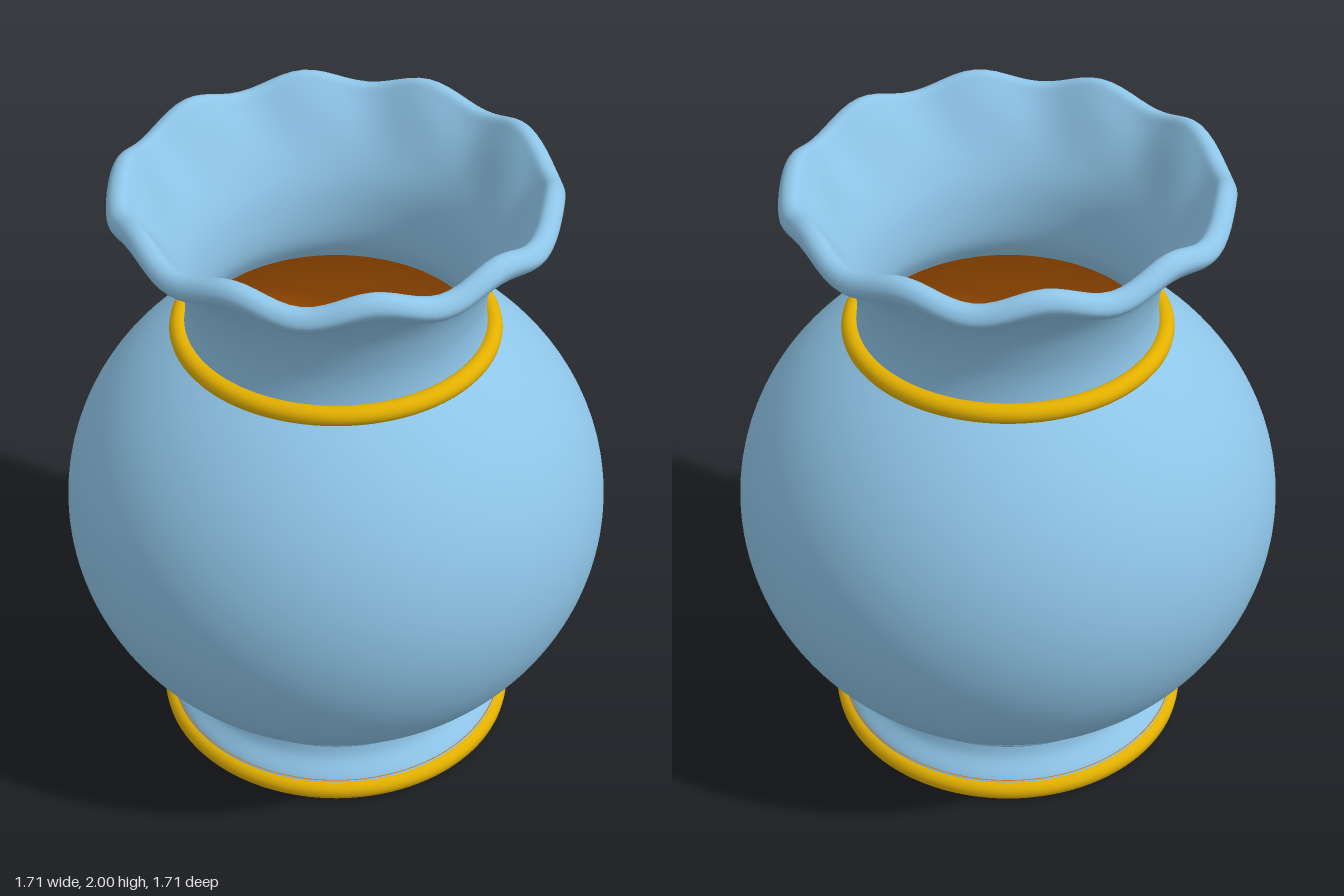
import * as THREE from 'three';
import { mergeVertices } from 'three/addons/utils/BufferGeometryUtils.js';

const SEGMENTS = 120;
const WAVES = 10;

// Smooth curve through a few [radius, height] pairs
function smoothProfile(pairs, divisions) {
  const curve = new THREE.SplineCurve(pairs.map(([r, y]) => new THREE.Vector2(r, y)));
  return curve.getPoints(divisions);
}

// Elliptical belly profile between two heights
function bellyProfile(radius, halfHeight, from, to, divisions) {
  return Array.from({ length: divisions + 1 }, (_, i) => {
    const y = THREE.MathUtils.lerp(from, to, i / divisions);
    return new THREE.Vector2(radius * Math.sqrt(1 - ((y - 0.83) / halfHeight) ** 2), y);
  });
}

// Ripple the upper part of the neck, then rebuild seamless smooth normals
function ruffle(geometry) {
  const p = geometry.attributes.position;
  for (let i = 0; i < p.count; i++) {
    const x = p.getX(i), y = p.getY(i), z = p.getZ(i);
    const k = THREE.MathUtils.smoothstep(y, 1.78, 1.95);
    const wave = -Math.cos(WAVES * Math.atan2(x, z)) * k;
    const s = 1 - 0.004 * wave;
    p.setXYZ(i, x * s, y + 0.022 * wave, z * s);
  }
  geometry.deleteAttribute('uv');
  geometry.deleteAttribute('normal');
  const merged = mergeVertices(geometry, 1e-4);
  merged.computeVertexNormals();
  return merged;
}

export function createModel() {
  const group = new THREE.Group();
  group.name = 'vase';

  const blue = new THREE.MeshStandardMaterial({ name: 'blueGlaze', color: 0x8fc6e9 });
  const gold = new THREE.MeshStandardMaterial({ name: 'goldTrim', color: 0xe3b000 });
  const orange = new THREE.MeshStandardMaterial({ name: 'orangeInterior', color: 0xd26800 });

  const add = (name, geometry, material, y = 0) => {
    const mesh = new THREE.Mesh(geometry, material);
    mesh.name = name;
    mesh.position.y = y;
    group.add(mesh);
    return mesh;
  };
  const lathe = (points) => new THREE.LatheGeometry(points, SEGMENTS);

  // Round belly
  add('body', lathe(bellyProfile(0.853, 0.777, 0.19, 1.47, 56)), blue);

  // Flared neck with rolled, ruffled lip, running down the inside wall
  add('neck', ruffle(lathe(smoothProfile([
    [0.47, 1.44], [0.456, 1.54], [0.46, 1.63], [0.49, 1.74], [0.55, 1.84],
    [0.61, 1.887], [0.65, 1.905], [0.669, 1.938], [0.653, 1.97], [0.62, 1.977],
    [0.59, 1.945], [0.53, 1.86], [0.45, 1.72], [0.42, 1.6], [0.42, 1.5], [0.45, 1.43],
  ], 72))), blue);

  // Inner wall of the belly and foot, descending so it faces inward
  add('innerWall', lathe([
    ...bellyProfile(0.82, 0.72, 1.43, 0.23, 36),
    new THREE.Vector2(0.46, 0.19),
    new THREE.Vector2(0.5, 0.07),
  ]), orange);

  // Floor seen through the mouth, its edge just showing above the base
  const floor = add('innerFloor', new THREE.CircleGeometry(0.553, SEGMENTS), orange, 0.072);
  floor.rotation.x = -Math.PI / 2;

  // Concave foot and the thin bead above it
  add('foot', lathe(smoothProfile([
    [0.56, 0.05], [0.545, 0.08], [0.505, 0.13], [0.49, 0.19],
  ], 16)), blue);
  const bead = add('footBead', new THREE.TorusGeometry(0.494, 0.016, 10, SEGMENTS), blue, 0.188);
  bead.rotation.x = Math.PI / 2;

  // Gold base with rounded edge and closed underside
  add('baseRing', lathe([
    [0, 0], [0.55, 0], [0.565, 0.004], [0.577, 0.016], [0.58, 0.033],
    [0.577, 0.049], [0.565, 0.061], [0.55, 0.066], [0.5, 0.066],
  ].map(([r, y]) => new THREE.Vector2(r, y))), gold);

  // Gold collar around the neck
  const collar = add('collarRing', new THREE.TorusGeometry(0.476, 0.03, 16, SEGMENTS), gold, 1.482);
  collar.rotation.x = Math.PI / 2;

  return group;
}
